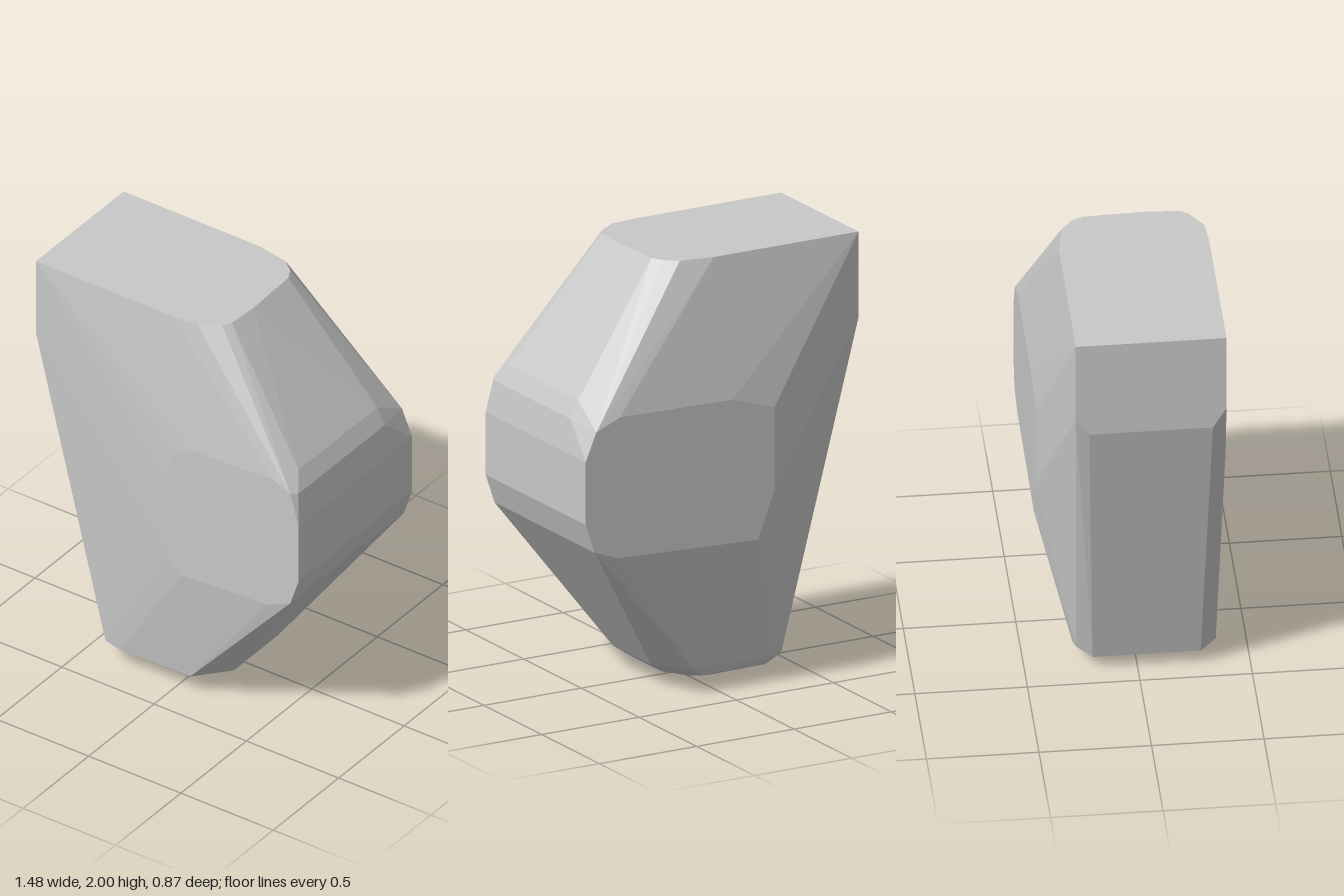
import * as THREE from 'three';
import { ConvexGeometry } from 'three/addons/geometries/ConvexGeometry.js';

export function createModel() {
  const group = new THREE.Group();
  group.name = 'facetedBlock';
  const stone = new THREE.MeshStandardMaterial({ color: 0xc8c8c8 });
  stone.name = 'pale grey';
  stone.flatShading = true;

  const points = [];
  const add = (list, toPoint) => list.forEach((p) => points.push(new THREE.Vector3(...toPoint(p))));

  // flat top, rounded at one end: x, z
  add([[-0.74, -0.31], [-0.74, 0.36], [0, 0.36], [0.13, 0.35], [0.22, 0.29], [0.245, 0.25],
    [0.255, 0.1], [0.245, -0.18], [0.22, -0.23], [0.16, -0.28], [0, -0.308]], ([x, z]) => [x, 2, z]);

  // upright end wall: y, z
  add([[1.62, 0.36], [1.52, 0.3], [1.52, -0.25], [1.6, -0.31]], ([y, z]) => [-0.74, y, z]);

  // front plate: x, y
  add([[0, 1.2], [0.06, 1.33], [0.15, 1.38], [0.6, 1.4], [0.69, 1.36], [0.735, 1.2], [0.735, 0.91],
    [0.69, 0.775], [0.57, 0.72], [0.1, 0.69], [0.03, 0.76], [0, 0.85]], ([x, y]) => [x, y, 0.432]);

  // back plate: x, y
  add([[-0.235, 1.3], [-0.02, 1.37], [0.56, 1.38], [0.68, 1.33], [0.735, 1.2], [0.735, 0.91],
    [0.69, 0.775], [0.57, 0.73], [-0.15, 0.7], [-0.235, 0.92]], ([x, y]) => [x, y, -0.435]);

  // shoulder on the bulging side: x, y, z
  add([[0.71, 1.35, 0.4], [0.67, 1.43, 0.34], [0.71, 1.35, -0.26], [0.67, 1.43, -0.26]], (p) => p);

  // bevelled foot: x, y, z
  add([
    [-0.37, 0.11, 0.35], [-0.29, 0.095, 0.355], [0.09, 0.1, 0.35], [0.22, 0.1, 0.2],
    [0.22, 0.1, -0.13], [0.09, 0.1, -0.28], [-0.3, 0.09, -0.28], [-0.37, 0.11, -0.27],
    [-0.4, 0.07, 0.28], [-0.4, 0.07, -0.2], [0.04, 0.04, 0.28], [-0.29, 0.04, 0.28],
    [0.15, 0.05, 0.16], [0.15, 0.05, -0.1], [0.03, 0.055, -0.26], [-0.29, 0.055, -0.26],
    [-0.29, 0.01, 0.13], [-0.29, 0.01, -0.12], [-0.05, 0.01, 0.17], [-0.05, 0.015, -0.16],
    [-0.15, 0, 0.1], [-0.15, 0, -0.08], [0, 0, 0.1], [0, 0, -0.08],
  ], (p) => p);

  const body = new THREE.Mesh(new ConvexGeometry(points), stone);
  body.name = 'body';
  group.add(body);
  return group;
}
